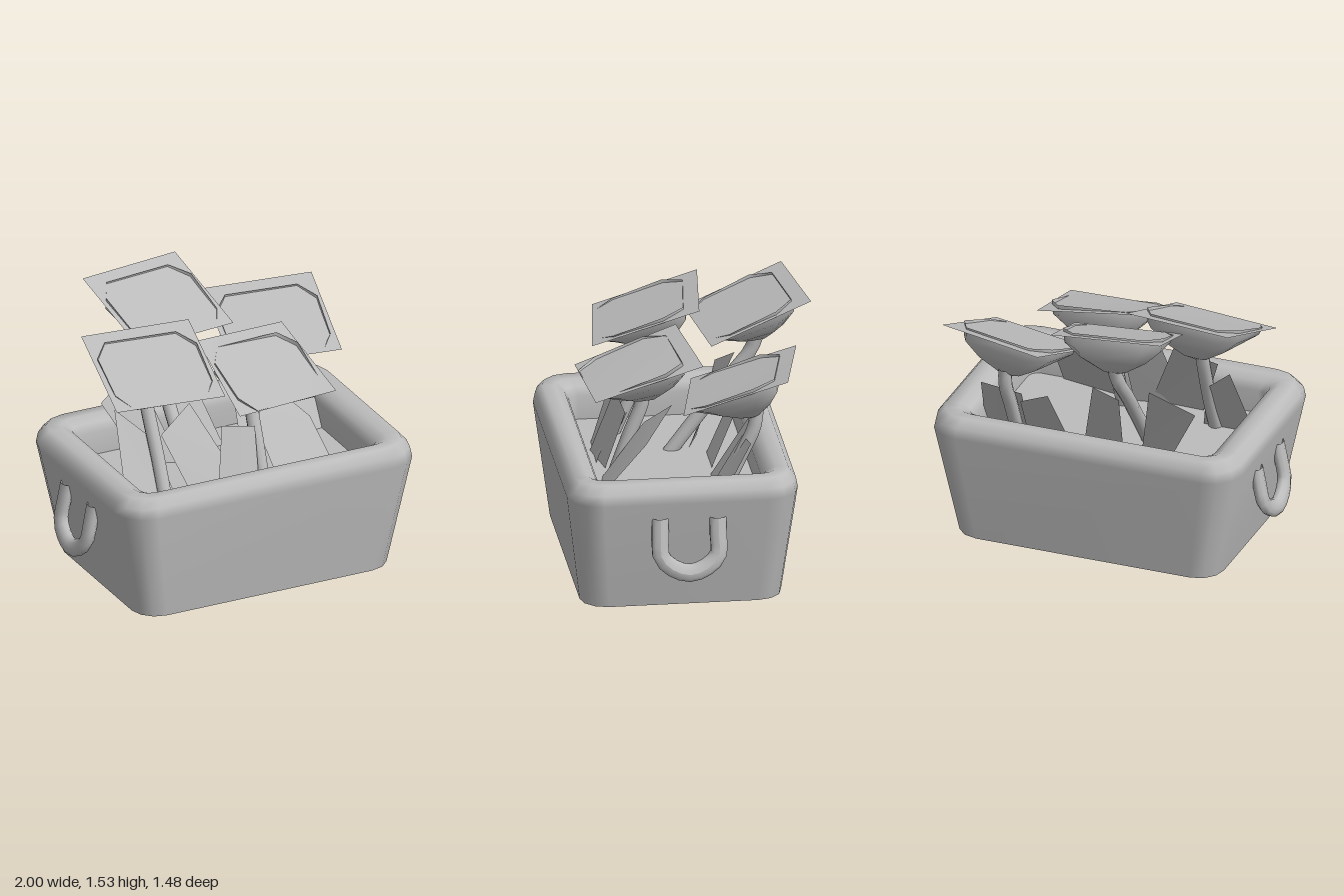
import * as THREE from 'three';

const grey = new THREE.MeshStandardMaterial({ color: 0xbcbcbc, side: THREE.DoubleSide });
grey.name = 'plain grey';
const V = (x, y, z) => new THREE.Vector3(x, y, z);

function mesh(name, geometry) {
  const m = new THREE.Mesh(geometry, grey);
  m.name = name;
  return m;
}

// Skin a list of closed rings, each with the same number of points
function loft(rings) {
  const n = rings[0].length, index = [];
  for (let r = 0; r < rings.length - 1; r++) {
    for (let j = 0; j < n; j++) {
      const a = r * n + j, b = r * n + (j + 1) % n, c = a + n, d = b + n;
      index.push(a, c, b, b, c, d);
    }
  }
  const g = new THREE.BufferGeometry().setFromPoints(rings.flat());
  g.setIndex(index);
  g.computeVertexNormals();
  return g;
}

// Slightly warped sheet, fanned from its centre
function sheet(...corners) {
  const n = corners.length, centre = V(0, 0, 0), index = [];
  corners.forEach((c, i) => {
    centre.addScaledVector(c, 1 / n);
    index.push(i, (i + 1) % n, n);
  });
  const g = new THREE.BufferGeometry().setFromPoints([...corners, centre]);
  g.setIndex(index);
  g.computeVertexNormals();
  return g;
}

// Rounded rectangle: half width, half depth, corner radius, height
function roundRect([w, d, r, y]) {
  const pts = [];
  [[1, 1], [-1, 1], [-1, -1], [1, -1]].forEach(([sx, sz], q) => {
    for (let k = 0; k <= 3; k++) {
      const t = (q + k / 3) * Math.PI / 2;
      pts.push(V(sx * (w - r) + r * Math.cos(t), y, 0.08 + sz * (d - r) + r * Math.sin(t)));
    }
  });
  return pts;
}

function tube(points, radius, segments) {
  return new THREE.TubeGeometry(new THREE.CatmullRomCurve3(points), segments, radius, 10);
}

// Square petal plate with a faceted cup beneath, given back-left, back-right, front-right, front-left
function flowerHead(bl, br, fr, fl) {
  const head = new THREE.Group();
  head.name = 'flowerHead';
  head.add(mesh('petalPlate', sheet(bl, fl, fr, br)));
  const centre = V(0, 0, 0).add(bl).add(br).add(fr).add(fl).multiplyScalar(0.25);
  const u = br.clone().add(fr).sub(bl).sub(fl).multiplyScalar(0.5);
  const v = bl.clone().add(br).sub(fl).sub(fr).multiplyScalar(0.5);
  const n = u.clone().cross(v).normalize();
  // Outline across the plate, with the height of the rim over it
  const outline = [[0.46, 0.17, 0.02], [0.45, -0.3, 0.008], [0.33, -0.49, -0.003], [-0.33, -0.49, -0.003],
    [-0.45, -0.3, 0.008], [-0.46, 0.17, 0.02], [-0.33, 0.36, 0.012], [0.33, 0.36, 0.012]];
  const profile = [[0.01, -0.23], [0.25, -0.215], [0.65, -0.155], [0.96, -0.08], [1, 0]];
  // The cup is deep at the back and runs straight to the front edge
  head.add(mesh('cup', loft(profile.map(([s, h]) => outline.map(([a, b, rim]) => {
    const straight = b < -0.4 ? 0.9 : b < 0 ? 0.5 : 0;
    const height = THREE.MathUtils.lerp(h, -0.23 * (1 - s), straight) + rim * s;
    return centre.clone().addScaledVector(u, a * s)
      .addScaledVector(v, b * s - 0.03 * (1 - s)).addScaledVector(n, height);
  })))));
  return head;
}

export function createModel() {
  const model = new THREE.Group();
  model.name = 'planterWithFlowers';

  // Hollow tapered planter with a soft rolled rim
  const planter = new THREE.Group();
  planter.name = 'planter';
  const shell = [[0.80, 0.575, 0.15, 0], [0.935, 0.66, 0.19, 0.66], [0.923, 0.648, 0.18, 0.72],
    [0.88, 0.61, 0.16, 0.77], [0.80, 0.54, 0.1, 0.77], [0.745, 0.488, 0.07, 0.74],
    [0.72, 0.465, 0.06, 0.69], [0.72, 0.465, 0.06, 0.55]];
  const innerFoot = [0.65, 0.435, 0.02, 0.02];
  planter.add(mesh('shell', loft(shell.map(roundRect))));
  planter.add(mesh('innerWallAndFoot', loft([shell[7], innerFoot, shell[0]].map(roundRect))));
  planter.add(mesh('soil', loft([shell[7], [0.001, 0.001, 0.0005, 0.55]].map(roundRect))));
  model.add(planter);

  // Flattened U handles that follow the slope outwards
  const path = [[0.228, 0.57], [0.229, 0.46], [0.226, 0.35], [0.165, 0.284], [0.064, 0.25],
    [-0.037, 0.284], [-0.1, 0.35], [-0.102, 0.46], [-0.102, 0.565]];
  for (const side of [1, -1]) {
    const g = tube(path.map(([z, y]) => V(0, y, z)), 0.05, 16);
    const p = g.attributes.position;
    for (let i = 0; i < p.count; i++) {
      p.setX(i, p.getX(i) * 0.75 + side * (0.9 + (0.57 - p.getY(i)) * 0.2));
    }
    g.computeVertexNormals();
    model.add(mesh(side > 0 ? 'leftHandle' : 'rightHandle', g));
  }

  // Four flowers: plate corners and stem path
  const flowers = [
    { corners: [[-0.53, 1.53, -0.65], [0.10, 1.525, -0.74], [0.18, 1.31, -0.16], [-0.45, 1.315, -0.08]],
      stem: [[-0.2, 0.52, 0.04], [-0.2, 0.77, -0.15], [-0.2, 1.0, -0.33], [-0.19, 1.13, -0.43], [-0.18, 1.24, -0.47]] },
    { corners: [[0.22, 1.31, -0.64], [0.85, 1.335, -0.51], [0.75, 1.12, 0.075], [0.12, 1.1, -0.05]],
      stem: [[0.52, 0.52, -0.16], [0.52, 0.77, -0.28], [0.525, 0.95, -0.36], [0.52, 1.06, -0.375]] },
    { corners: [[-0.765, 1.41, -0.2], [-0.12, 1.41, -0.13], [-0.19, 1.2, 0.475], [-0.835, 1.2, 0.39]],
      stem: [[-0.49, 0.52, 0.33], [-0.49, 0.77, 0.22], [-0.5, 1.05, 0.1], [-0.5, 1.14, 0.07]] },
    { corners: [[-0.13, 1.335, 0.005], [0.445, 1.295, -0.08], [0.48, 1.12, 0.54], [-0.15, 1.11, 0.58]],
      stem: [[0.1, 0.52, 0.39], [0.1, 0.77, 0.3], [0.1, 0.95, 0.23], [0.1, 1.04, 0.215]] },
  ];
  for (const { corners, stem } of flowers) {
    const flower = new THREE.Group();
    flower.name = 'flower';
    flower.add(flowerHead(...corners.map((c) => V(...c))));
    flower.add(mesh('stem', tube(stem.map((s) => V(...s)), 0.04, 12)));
    model.add(flower);
  }

  // Angular leaves leaning back, corners listed from lower left
  const leaves = [
    [[-0.73, 0.55, 0.31], [-0.42, 0.55, 0.31], [-0.5, 0.87, 0.15], [-0.68, 1.04, 0.05]],
    [[-0.36, 0.55, 0.46], [-0.04, 0.55, 0.47], [-0.28, 1.06, 0.2], [-0.51, 0.95, 0.3]],
    [[-0.24, 0.55, 0.48], [0.05, 0.55, 0.43], [0.075, 0.89, 0.32], [-0.15, 0.95, 0.35]],
    [[-0.12, 0.55, -0.17], [0.12, 0.55, -0.17], [-0.03, 1.06, -0.42], [-0.17, 0.98, -0.37]],
    [[0.17, 0.55, 0.46], [0.52, 0.55, 0.53], [0.46, 0.84, 0.25], [0.29, 1.01, 0.08], [0.13, 0.85, 0.22]],
    [[0.48, 0.55, -0.1], [0.74, 0.55, -0.12], [0.69, 0.91, -0.32], [0.45, 0.87, -0.3]],
    [[-0.4, 0.55, -0.15], [-0.2, 0.55, -0.08], [-0.35, 1.06, -0.36], [-0.6, 0.92, -0.28]],
    [[0.22, 0.55, -0.15], [0.47, 0.55, -0.15], [0.45, 0.83, -0.32], [0.26, 0.93, -0.38]],
  ];
  for (const leaf of leaves) model.add(mesh('leaf', sheet(...leaf.map((p) => V(...p)))));

  return model;
}
